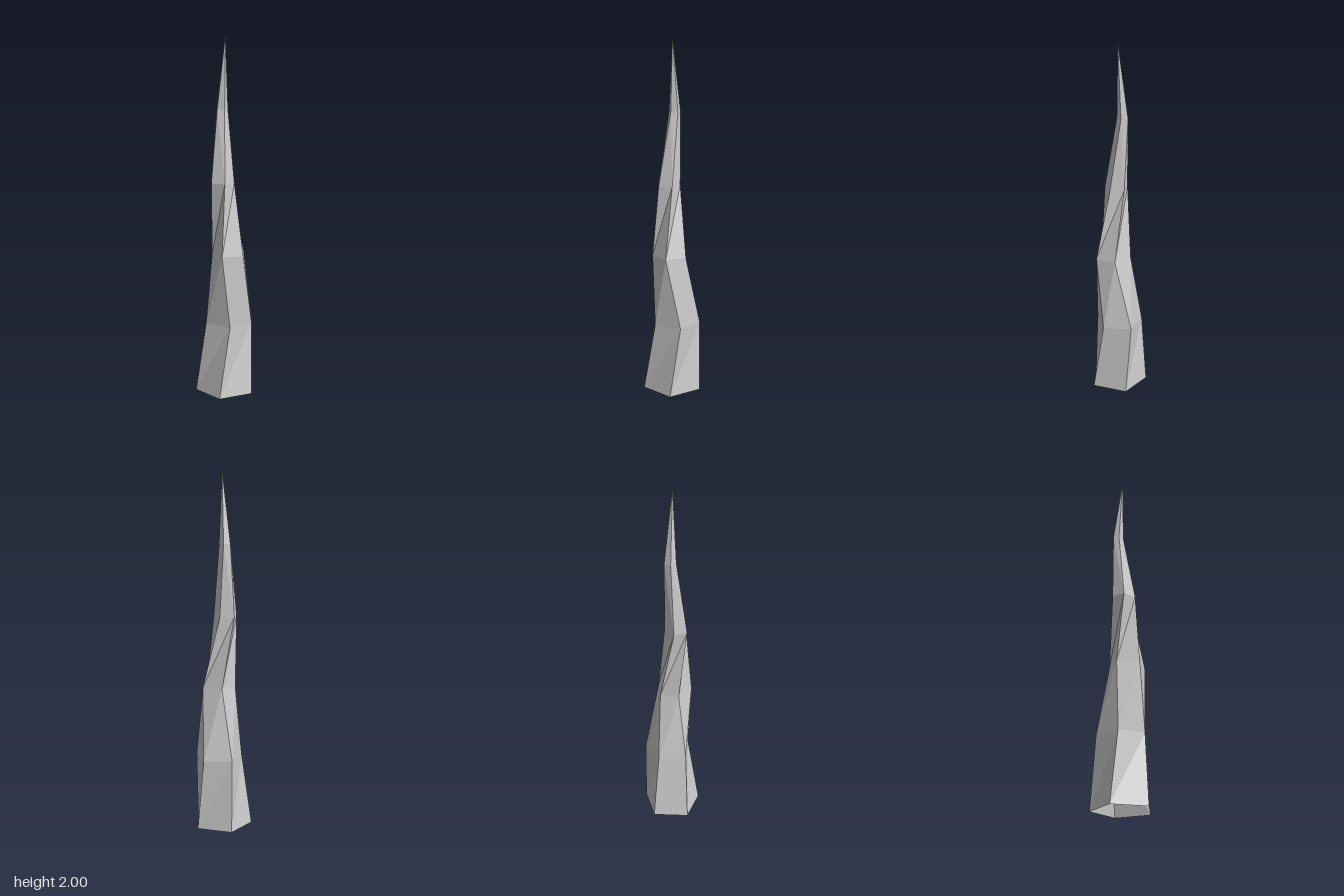
import * as THREE from 'three';

// Five-sided cross-sections [x, z], evenly spaced from the base upwards
const RINGS = [
  [[0.153, 0], [0.036, 0.162], [-0.155, 0.1], [-0.155, -0.1], [0.036, -0.162]],
  [[0.137, -0.036], [0.08, 0.113], [-0.08, 0.105], [-0.121, -0.05], [0.014, -0.137]],
  [[0.083, 0.045], [-0.003, 0.129], [-0.109, 0.072], [-0.075, -0.048], [0.03, -0.063]],
  [[0.018, -0.027], [0.003, 0.05], [-0.075, 0.058], [-0.109, -0.015], [-0.052, -0.067]],
  [[0.011, -0.01], [-0.026, 0.003], [-0.051, -0.03], [-0.03, -0.059], [0.01, -0.05]],
];
const STEP = 0.4;
const SIDES = 5;

// Crooked tapering spike, open underneath
function spikeGeometry() {
  const positions = [];
  const index = [];
  RINGS.forEach((ring, r) => ring.forEach(([x, z]) => positions.push(x, r * STEP, z)));
  const tip = RINGS.length * SIDES;
  positions.push(-0.017, 2, 0);

  for (let r = 0; r < RINGS.length; r++) {
    for (let i = 0; i < SIDES; i++) {
      const a = r * SIDES + i;
      const b = r * SIDES + ((i + 1) % SIDES);
      if (r === RINGS.length - 1) index.push(b, a, tip);
      else index.push(b, a, a + SIDES, b, a + SIDES, b + SIDES);
    }
  }

  const indexed = new THREE.BufferGeometry();
  indexed.setAttribute('position', new THREE.Float32BufferAttribute(positions, 3));
  indexed.setIndex(index);
  const geometry = indexed.toNonIndexed();
  geometry.computeVertexNormals();
  return geometry;
}

export function createModel() {
  const group = new THREE.Group();
  group.name = 'crookedSpike';
  const material = new THREE.MeshStandardMaterial({
    color: 0xcccccc,
    flatShading: true,
    side: THREE.DoubleSide,
  });
  const spike = new THREE.Mesh(spikeGeometry(), material);
  spike.name = 'spike';
  group.add(spike);
  return group;
}
